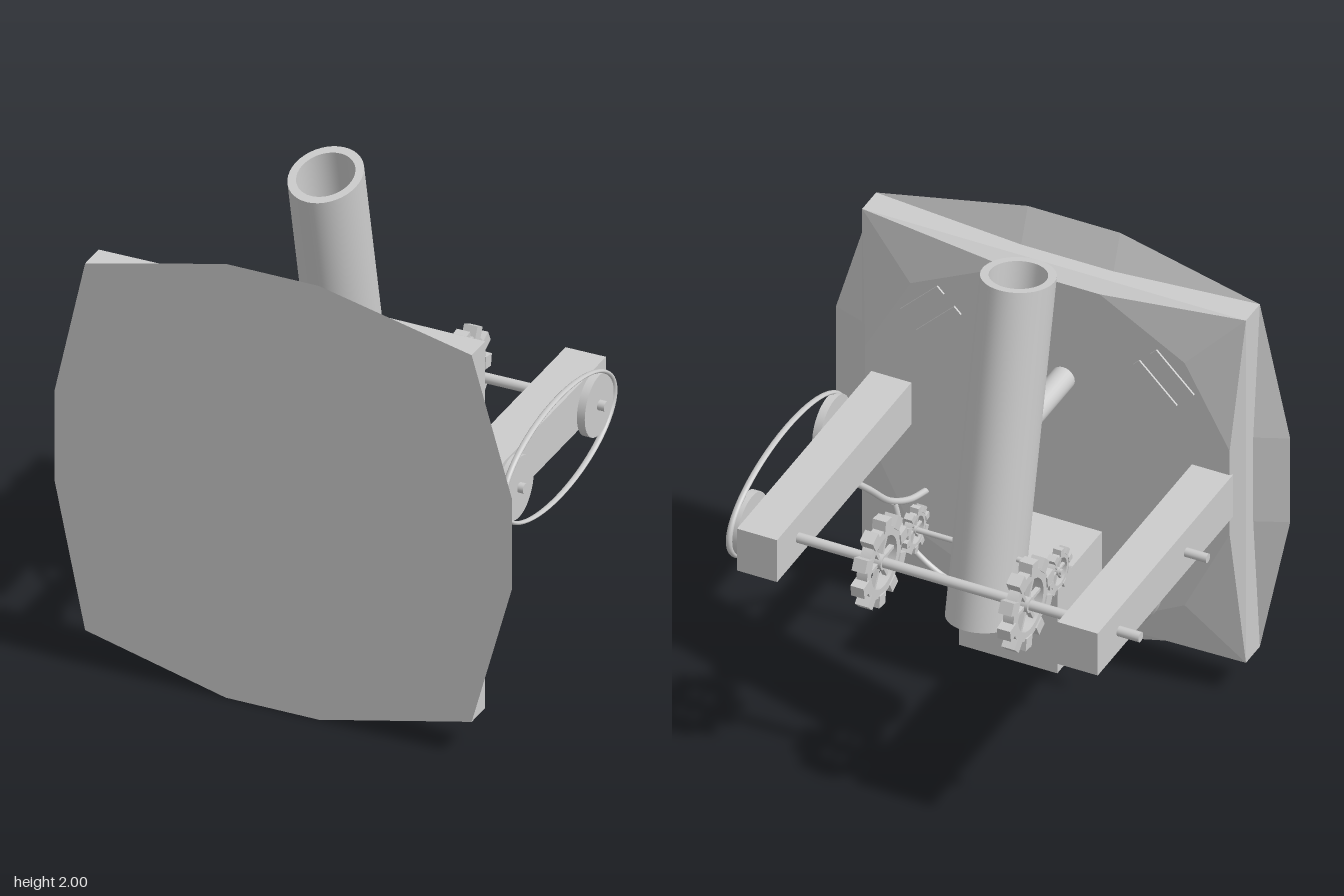
import * as THREE from 'three';
import { toCreasedNormals } from 'three/addons/utils/BufferGeometryUtils.js';

const smooth = new THREE.MeshStandardMaterial({ color: 0xcccccc, side: THREE.DoubleSide });
const flat = new THREE.MeshStandardMaterial({ color: 0xcccccc, flatShading: true });

function add(parent, name, geometry, x = 0, y = 0, z = 0, material = smooth) {
  const mesh = new THREE.Mesh(geometry, material);
  mesh.name = name;
  mesh.position.set(x, y, z);
  parent.add(mesh);
  return mesh;
}

// Box given by its limits on each axis
function block(parent, name, x0, x1, y0, y1, z0, z1) {
  return add(parent, name, new THREE.BoxGeometry(x1 - x0, y1 - y0, z1 - z0),
    (x0 + x1) / 2, (y0 + y1) / 2, (z0 + z1) / 2, flat);
}

// Cylinder lying along x
function rodX(parent, name, x0, x1, y, z, r, segments = 20) {
  const geo = new THREE.CylinderGeometry(r, r, x1 - x0, segments).rotateZ(Math.PI / 2);
  return add(parent, name, geo, (x0 + x1) / 2, y, z);
}

// Twelve-sided outline: four corners with a short flat in the middle of each side
function shieldRing(l, r, b, t, cl, cr, cb, ct, z) {
  return [
    [r, 0.75], [r, 1.13], [cr, ct], [0.14, t], [-0.24, t], [cl, ct],
    [l, 1.13], [l, 0.75], [cl, cb], [-0.24, b], [0.14, b], [cr, cb],
  ].map(([x, y]) => [x, y, z]);
}

function loft(rings, cx, cy) {
  const pos = [];
  const tri = (...corners) => corners.forEach((c) => pos.push(...c));
  const first = rings[0], last = rings[rings.length - 1], n = first.length;
  for (let i = 0; i < n; i++) {
    const j = (i + 1) % n;
    for (let k = 0; k < rings.length - 1; k++) {
      const a = rings[k], b = rings[k + 1];
      // split each quad so that the diagonal runs between outer corner and inner flat
      if (i % 3 === 1) {
        tri(a[i], b[i], a[j]);
        tri(b[i], b[j], a[j]);
      } else {
        tri(a[i], b[i], b[j]);
        tri(a[i], b[j], a[j]);
      }
    }
    tri([cx, cy, first[0][2]], first[i], first[j]);
    tri([cx, cy, last[0][2]], last[j], last[i]);
  }
  const geo = new THREE.BufferGeometry();
  geo.setAttribute('position', new THREE.Float32BufferAttribute(pos, 3));
  geo.computeVertexNormals();
  return geo;
}

// Spoked gear wheel with ten square teeth, its axis along x
function gear(parent, name, x, y, z, scale, width) {
  const g = new THREE.Group();
  g.name = name;
  const rim = new THREE.Shape().absarc(0, 0, 0.142, 0, Math.PI * 2);
  rim.holes.push(new THREE.Path().absarc(0, 0, 0.105, 0, Math.PI * 2, true));
  const rimGeo = new THREE.ExtrudeGeometry(rim, { depth: 0.8, bevelEnabled: false, curveSegments: 24 });
  add(g, 'gearRim', toCreasedNormals(rimGeo.translate(0, 0, -0.4), 0.6));
  for (let i = 0; i < 10; i++) {
    const a = THREE.MathUtils.degToRad(27 + i * 36);
    const tooth = add(g, 'gearTooth', new THREE.BoxGeometry(0.05, 0.05, 1),
      Math.cos(a) * 0.155, Math.sin(a) * 0.155, 0, flat);
    tooth.rotation.z = a;
  }
  for (let i = 0; i < 3; i++) {
    const spoke = add(g, 'gearSpokes', new THREE.BoxGeometry(0.22, 0.014, 0.35), 0, 0, 0, flat);
    spoke.rotation.z = (i * Math.PI) / 3;
  }
  add(g, 'gearHub', new THREE.CylinderGeometry(0.03, 0.03, 0.8, 20).rotateX(Math.PI / 2));
  g.scale.set(scale, scale, width);
  g.rotation.y = Math.PI / 2;
  g.position.set(x, y, z);
  parent.add(g);
}

function cable(parent, name, points, r) {
  const curve = new THREE.CatmullRomCurve3(points.map((p) => new THREE.Vector3(...p)));
  add(parent, name, new THREE.TubeGeometry(curve, 32, r, 10));
}

export function createModel() {
  const model = new THREE.Group();
  model.name = 'shieldedLauncher';

  // Shield plate: flared front, straight rim, faceted back
  add(model, 'shield', loft([
    shieldRing(-0.94, 0.93, 0, 1.84, -0.815, 0.765, 0.145, 1.7, 0.64),
    shieldRing(-0.815, 0.765, 0.145, 1.7, -0.815, 0.765, 0.145, 1.7, 0.585),
    shieldRing(-0.815, 0.765, 0.145, 1.7, -0.815, 0.765, 0.145, 1.7, 0.525),
    shieldRing(-0.775, 0.725, 0.18, 1.67, -0.59, 0.54, 0.37, 1.47, 0.47),
  ], -0.025, 0.92), 0, 0, 0, flat);

  // Paired slats on the upper back of the shield
  for (const s of [-1, 1]) {
    for (const d of [-0.035, 0.035]) {
      const slat = add(model, 'shieldSlat', new THREE.BoxGeometry(0.22, 0.04, 0.012),
        -0.025 + s * (0.48 + d), 1.37 + d, 0.468, flat);
      slat.rotation.z = -s * Math.PI / 4;
    }
  }

  // Side beams
  block(model, 'rightBeam', -0.785, -0.62, 0.83, 1.02, -0.64, 0.48);
  block(model, 'leftBeam', 0.535, 0.7, 0.83, 1.02, -0.64, 0.48);

  // Hollow barrel, oval in section, closed at the bottom
  const h = 0.695, R = 0.164, r = 0.127;
  const profile = [[0, -h], [R, -h], [R, h], [r, h], [r, -h + 0.03], [0, -h + 0.03]]
    .map(([x, y]) => new THREE.Vector2(x, y));
  const barrel = add(model, 'barrel',
    toCreasedNormals(new THREE.LatheGeometry(profile, 40), 0.6), -0.1, 1.285, -0.065);
  barrel.rotation.x = 0.21;
  barrel.scale.x = 0.137 / R;

  // Strut from shield to barrel
  add(model, 'barrelStrut', new THREE.CylinderGeometry(0.048, 0.048, 0.5, 24).rotateX(Math.PI / 2),
    -0.09, 1.243, 0.23);

  // Axles
  rodX(model, 'rearAxle', -0.875, 0.785, 0.92, -0.465, 0.02);
  rodX(model, 'rightStub', -0.875, -0.75, 0.92, 0.09, 0.018);
  rodX(model, 'leftStub', 0.66, 0.78, 0.92, 0.215, 0.02);
  rodX(model, 'pinionShaft', -0.415, 0.23, 0.89, -0.19, 0.011);

  // Gears
  for (const x of [-0.4, 0.203]) gear(model, 'largeGear', x, 0.92, -0.465, 1, 0.055);
  for (const x of [-0.393, 0.195]) gear(model, 'smallGear', x, 0.89, -0.19, 0.52, 0.034);

  // Pulleys and belt
  for (const z of [0.22, -0.465]) rodX(model, 'pulley', 0.725, 0.757, 0.92, z, 0.125, 36);
  const belt = add(model, 'belt', new THREE.TorusGeometry(0.475, 0.012, 10, 64), 0.754, 0.916, -0.123);
  belt.rotation.y = Math.PI / 2;
  belt.scale.y = 0.445;

  // Control box with a vent underneath
  block(model, 'controlBox', -0.25, 0.155, 0.19, 0.595, 0.1, 0.48);
  block(model, 'ventPanel', -0.19, 0.1, 0.187, 0.2, 0.19, 0.38);
  for (let i = 0; i < 4; i++) {
    const x = -0.15 + i * 0.062;
    block(model, 'ventBar', x, x + 0.03, 0.182, 0.2, 0.21, 0.36);
  }

  // Cables from each beam to the shield, with a branch to the control box
  for (const s of [1, -1]) {
    const side = ([x, y, z]) => [s > 0 ? x : -0.095 - x, y, z];
    cable(model, 'beamCable', [
      [0.56, 0.85, 0.03], [0.535, 0.76, 0.12], [0.51, 0.64, 0.24],
      [0.488, 0.575, 0.36], [0.475, 0.545, 0.48],
    ].map(side), 0.013);
    cable(model, 'boxCable', [
      [0.505, 0.61, 0.27], [0.46, 0.46, 0.275], [0.33, 0.34, 0.285], [0.15, 0.3, 0.27],
    ].map(side), 0.012);
  }

  return model;
}
